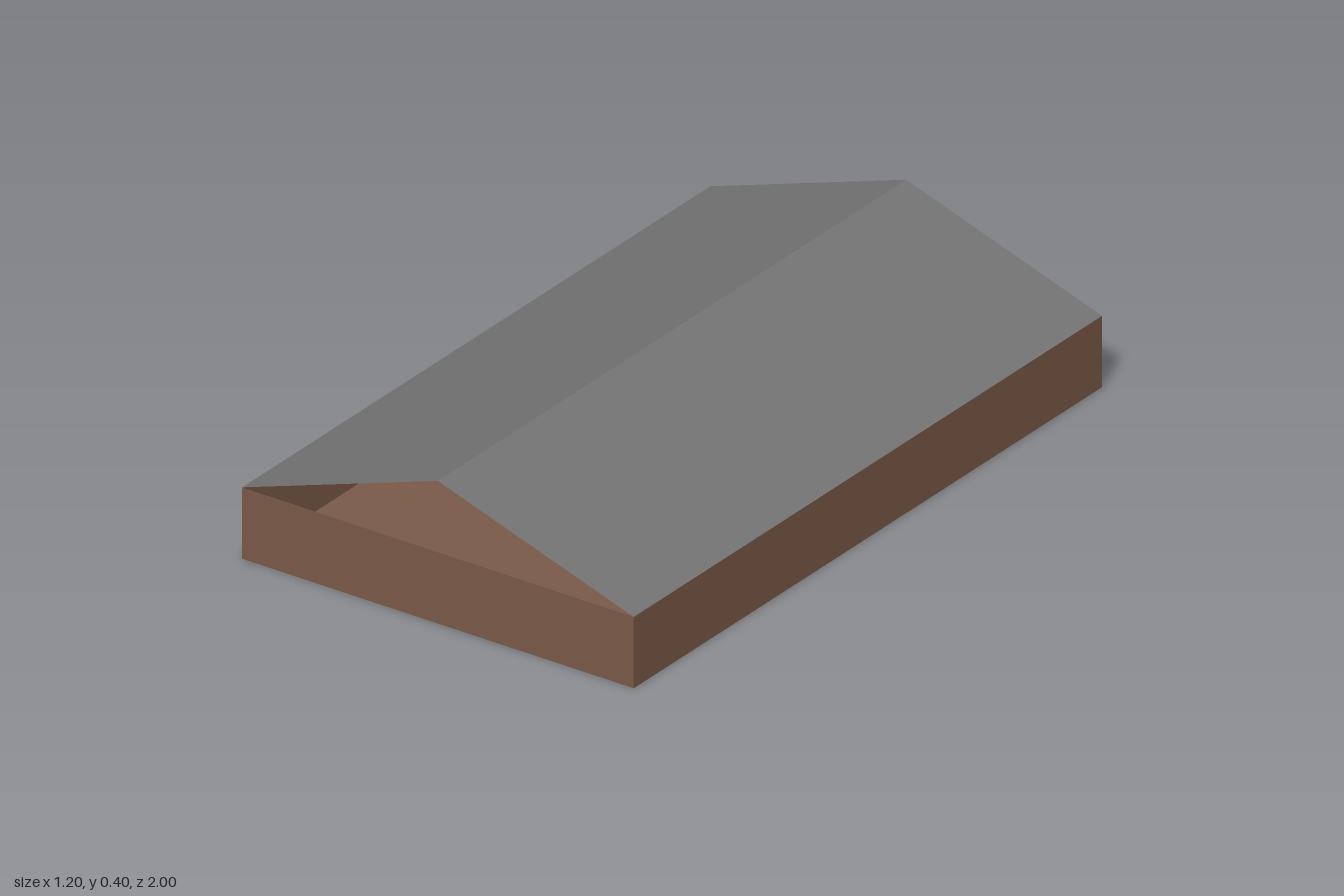
import * as THREE from 'three';

const WIDTH = 1.2, LENGTH = 2, WALL = 0.2, RISE = 0.2;

export function createModel() {
  const model = new THREE.Group();
  model.name = 'gabledShed';

  const brown = new THREE.MeshStandardMaterial({ color: 0x7a5a48, side: THREE.DoubleSide });
  brown.name = 'brown walls';
  const grey = new THREE.MeshStandardMaterial({ color: 0x757474, side: THREE.DoubleSide });
  grey.name = 'grey roof';

  // Adds one thin panel, rotated about its centre
  function panel(name, material, w, h, position, rotation) {
    const mesh = new THREE.Mesh(new THREE.PlaneGeometry(w, h), material);
    mesh.name = name;
    mesh.position.set(...position);
    mesh.rotation.set(...rotation);
    model.add(mesh);
  }

  // Open-topped base: floor and four walls
  panel('floor', brown, WIDTH, LENGTH, [0, 0, 0], [Math.PI / 2, 0, 0]);
  panel('frontWall', brown, WIDTH, WALL, [0, WALL / 2, LENGTH / 2], [0, 0, 0]);
  panel('backWall', brown, WIDTH, WALL, [0, WALL / 2, -LENGTH / 2], [0, Math.PI, 0]);

  // Side walls and the two roof slopes; the gable ends stay open
  const slope = Math.atan2(RISE, WIDTH / 2);
  const slopeLength = Math.hypot(RISE, WIDTH / 2);
  for (const [side, s] of [['left', 1], ['right', -1]]) {
    panel(side + 'Wall', brown, LENGTH, WALL, [s * WIDTH / 2, WALL / 2, 0], [0, s * Math.PI / 2, 0]);

    const roof = new THREE.Mesh(new THREE.PlaneGeometry(slopeLength, LENGTH).rotateX(-Math.PI / 2), grey);
    roof.name = side + 'RoofSlope';
    roof.position.set(s * WIDTH / 4, WALL + RISE / 2, 0);
    roof.rotation.z = -s * slope;
    model.add(roof);
  }

  return model;
}
